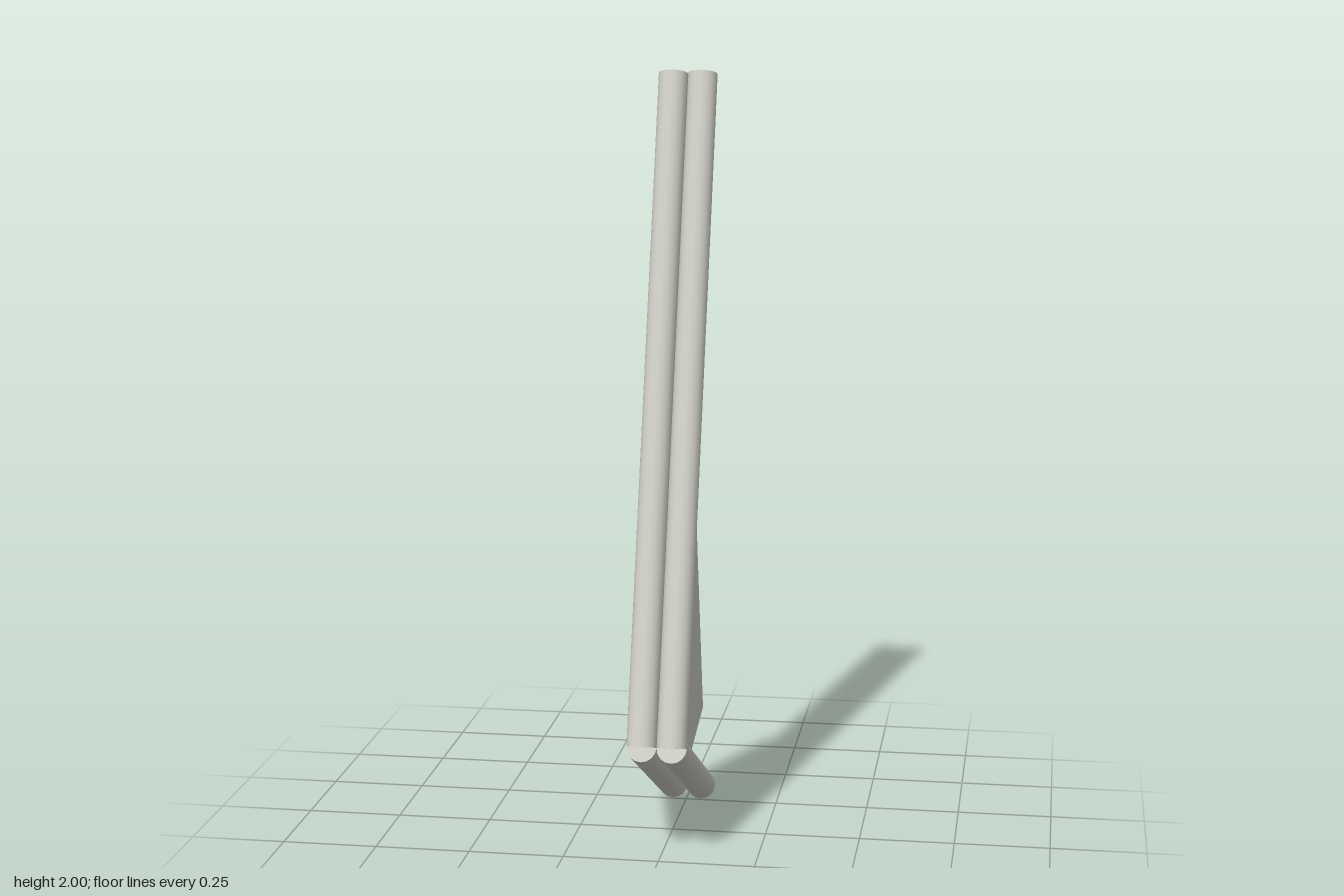
import * as THREE from 'three';

const RADIUS = 0.039;

export function createModel() {
  const model = new THREE.Group();
  const paleGrey = new THREE.MeshStandardMaterial({ color: 0xcfcec6 });

  // Straight round bar between two points
  function bar(name, from, to) {
    const dir = to.clone().sub(from);
    const mesh = new THREE.Mesh(new THREE.CylinderGeometry(RADIUS, RADIUS, dir.length(), 16), paleGrey);
    mesh.name = name;
    mesh.position.copy(from).add(to).multiplyScalar(0.5);
    mesh.quaternion.setFromUnitVectors(new THREE.Vector3(0, 1, 0), dir.normalize());
    model.add(mesh);
  }

  // Paired long uprights and short feet meeting at a shared joint
  for (const [side, x] of [['left', RADIUS], ['right', -RADIUS]]) {
    const joint = new THREE.Vector3(x, 0.315, 0.276);
    bar(side + 'Upright', joint, new THREE.Vector3(x, 1.988, -0.274));
    bar(side + 'Foot', joint, new THREE.Vector3(x, 0.035, -0.275));
  }

  // Tilted slab resting between the uprights and the feet
  const slab = new THREE.Mesh(new THREE.BoxGeometry(0.078, 0.549, 0.297), paleGrey);
  slab.name = 'slab';
  slab.position.set(0, 0.482, -0.096);
  slab.rotation.x = 0.238;
  model.add(slab);

  return model;
}
